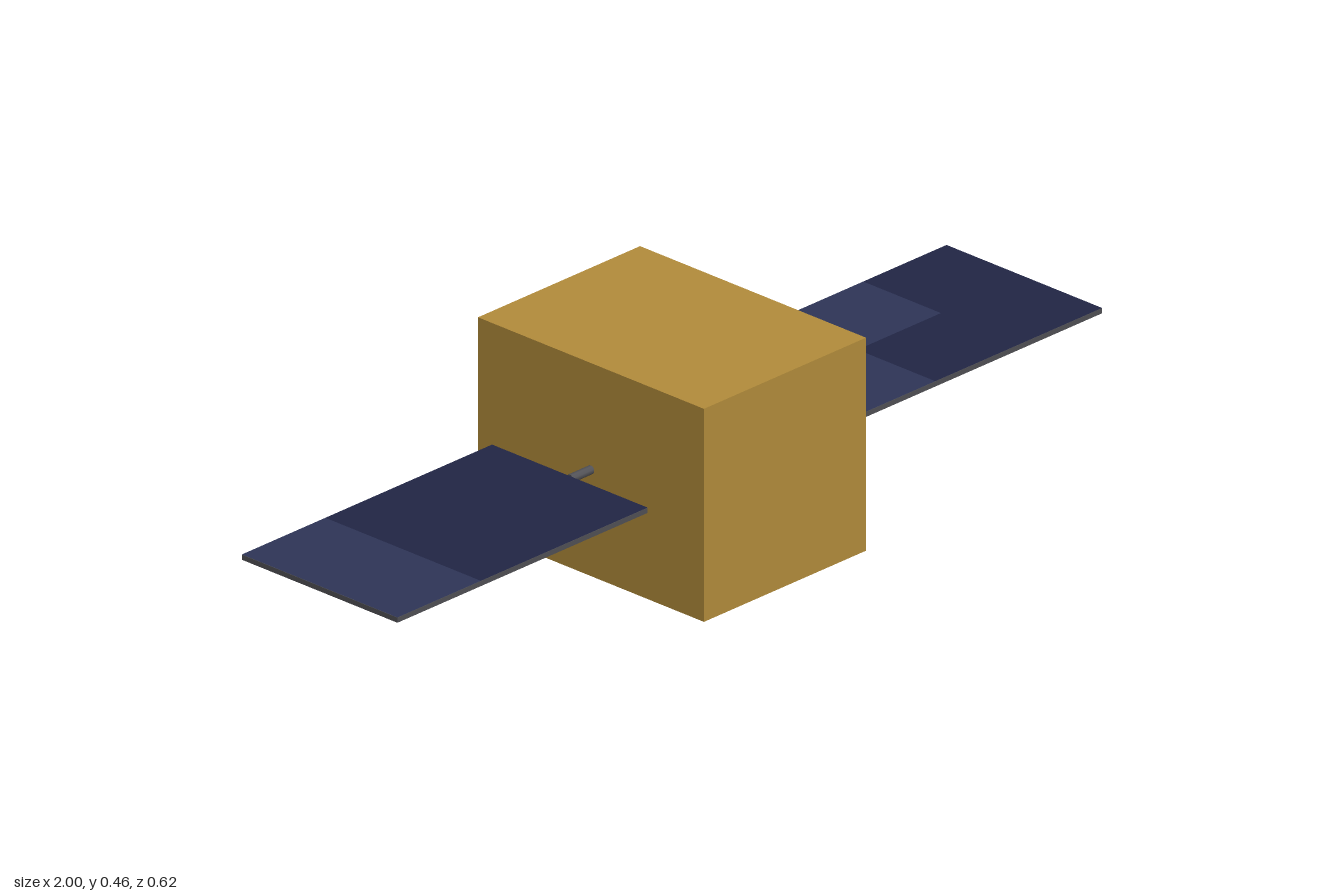
import * as THREE from 'three';

const paint = (color) => new THREE.MeshStandardMaterial({ color });

export function createModel() {
  const model = new THREE.Group();
  const gold = paint(0xb08a3a);
  const metal = paint(0x4f4f54);
  const lightCell = paint(0x2d3456);
  const darkCell = paint(0x212544);
  const midY = 0.231;

  const add = (parent, name, geometry, material, x, y, z) => {
    const mesh = new THREE.Mesh(geometry, material);
    mesh.name = name;
    mesh.position.set(x, y, z);
    parent.add(mesh);
    return mesh;
  };

  // Foil-wrapped body
  add(model, 'body', new THREE.BoxGeometry(0.46, 0.462, 0.616), gold, 0, midY, 0);

  // Solar wings: 3 x 2 cells per face, rows back then front,
  // columns from the body outwards (1 = light cell)
  const inner = 0.29, length = 0.71, depth = 0.424, thickness = 0.011;
  const patterns = {
    left: { side: 1, top: [[1, 1, 0], [1, 0, 0]], bottom: [[0, 0, 0], [1, 1, 0]] },
    right: { side: -1, top: [[0, 0, 1], [0, 0, 1]], bottom: [[1, 1, 1], [1, 1, 0]] },
  };
  const cellGeometry = new THREE.PlaneGeometry(length / 3, depth / 2);

  for (const [label, { side, top, bottom }] of Object.entries(patterns)) {
    const wing = new THREE.Group();
    wing.name = `${label}Wing`;
    wing.position.y = midY;
    model.add(wing);

    // Boom joining wing to body
    const boom = add(wing, 'boom', new THREE.CylinderGeometry(0.0095, 0.0095, 0.07, 8).rotateY(Math.PI / 8),
      metal, side * 0.255, 0, 0);
    boom.rotation.z = Math.PI / 2;

    // Thin panel
    add(wing, 'panel', new THREE.BoxGeometry(length, thickness, depth), metal,
      side * (inner + length / 2), 0, 0);

    // Cells on the upper and lower faces
    for (const [face, rows] of [[1, top], [-1, bottom]]) {
      rows.forEach((row, r) => row.forEach((isLight, c) => {
        const cell = add(wing, 'solarCell', cellGeometry, isLight ? lightCell : darkCell,
          side * (inner + (c + 0.5) * length / 3), face * (thickness / 2 + 0.0006), (r - 0.5) * depth / 2);
        cell.rotation.x = -face * Math.PI / 2;
      }));
    }
  }
  return model;
}
